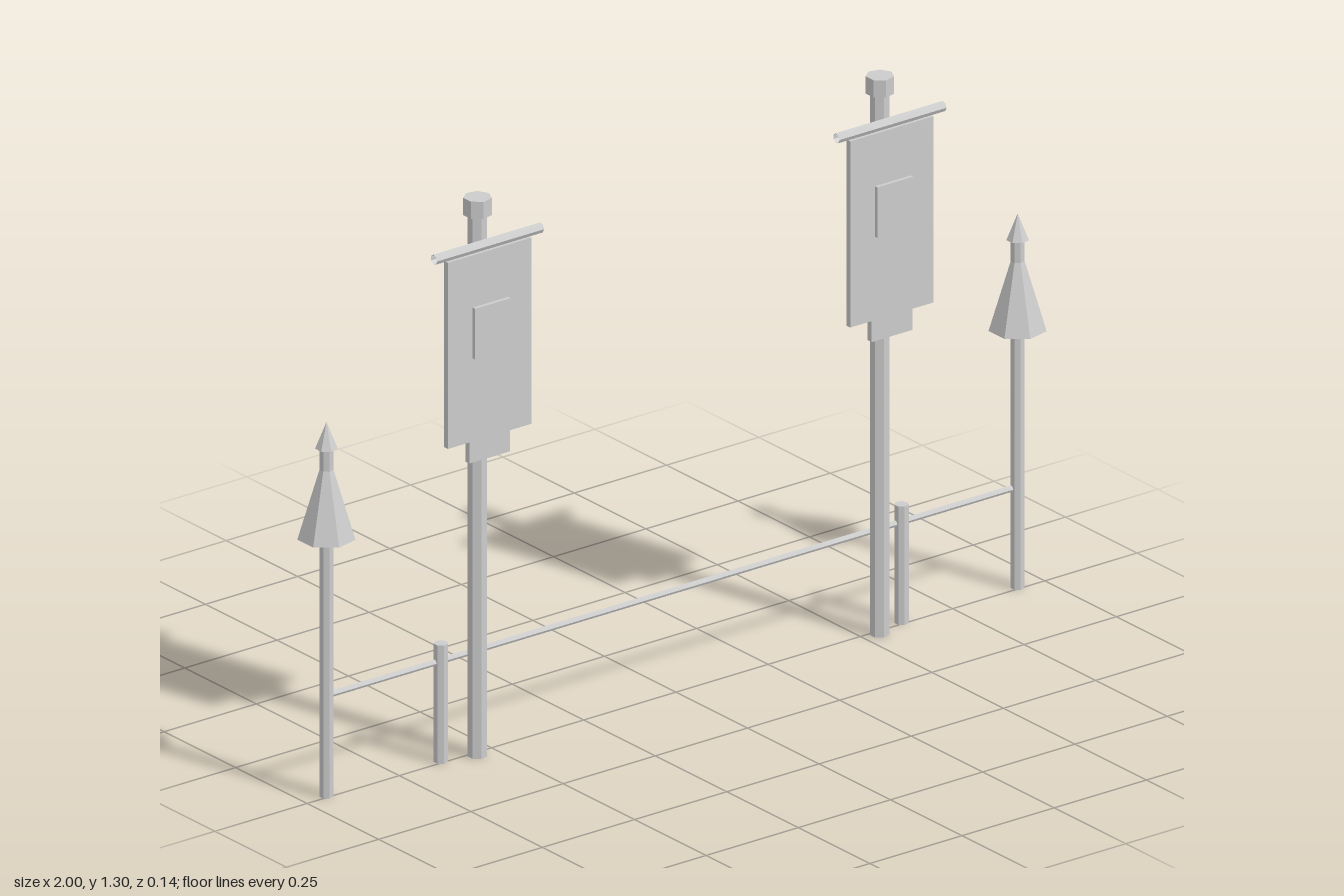
import * as THREE from 'three';

const stone = new THREE.MeshStandardMaterial({ color: 0xcccccc, flatShading: true, side: THREE.DoubleSide });
stone.name = 'plain grey';

const SIDES = 7;

function add(parent, name, geometry, x, y, z) {
  const mesh = new THREE.Mesh(geometry, stone);
  mesh.name = name;
  mesh.position.set(x, y, z);
  parent.add(mesh);
  return mesh;
}

// Upright tapered prism from y0 to y1 with one corner facing +x
function upright(parent, name, rTop, rBottom, y0, y1, z, open = false) {
  const geo = new THREE.CylinderGeometry(rTop, rBottom, y1 - y0, SIDES, 1, open, Math.PI / 2);
  return add(parent, name, geo, 0, (y0 + y1) / 2, z);
}

// Hollow bar lying along x
function crosswise(parent, name, radius, x0, x1, y, z) {
  const geo = new THREE.CylinderGeometry(radius, radius, x1 - x0, SIDES, 1, true);
  geo.rotateZ(Math.PI / 2);
  return add(parent, name, geo, (x0 + x1) / 2, y, z);
}

// Lance with a hollow flared guard and pointed tip
function lance() {
  const g = new THREE.Group();
  g.name = 'lance';
  const z = -0.007;
  upright(g, 'lanceShaft', 0.0155, 0.0155, 0, 0.815, z);
  upright(g, 'lanceGuard', 0.0155, 0.064, 0.602, 0.76, z, true);
  upright(g, 'lanceTip', 0, 0.025, 0.81, 0.87, z);
  return g;
}

// Pole with cap, crossbar, stepped cloth and raised square
function banner() {
  const g = new THREE.Group();
  g.name = 'banner';
  upright(g, 'pole', 0.0215, 0.0215, 0, 1.262, 0.0145);
  upright(g, 'poleCap', 0.0315, 0.0315, 1.26, 1.3, 0.0155);
  crosswise(g, 'crossbar', 0.0115, -0.145, 0.145, 1.202, 0.05);

  const cloth = new THREE.Shape([
    [-0.114, 1.19], [-0.114, 0.757], [-0.056, 0.757], [-0.056, 0.708],
    [0.054, 0.708], [0.054, 0.757], [0.112, 0.757], [0.112, 1.19],
  ].map(([x, y]) => new THREE.Vector2(x, y)));
  add(g, 'cloth', new THREE.ExtrudeGeometry(cloth, { depth: 0.014, bevelEnabled: false }), 0, 0, 0.045);
  add(g, 'raisedSquare', new THREE.BoxGeometry(0.097, 0.118, 0.009), -0.002, 1.012, 0.068);
  return g;
}

export function createModel() {
  const model = new THREE.Group();
  model.name = 'bannerFence';

  const place = (group, x) => {
    group.position.x = x;
    model.add(group);
  };
  for (const x of [-0.942, 0.932]) place(lance(), x);
  for (const x of [-0.55, 0.541]) place(banner(), x);

  // Short stakes beside the poles
  for (const x of [-0.631, 0.618]) {
    upright(model, 'stake', 0.016, 0.016, 0, 0.275, -0.008).position.x = x;
  }

  // Long rail joining the lances
  crosswise(model, 'rail', 0.007, -0.935, 0.925, 0.232, -0.011);
  return model;
}
